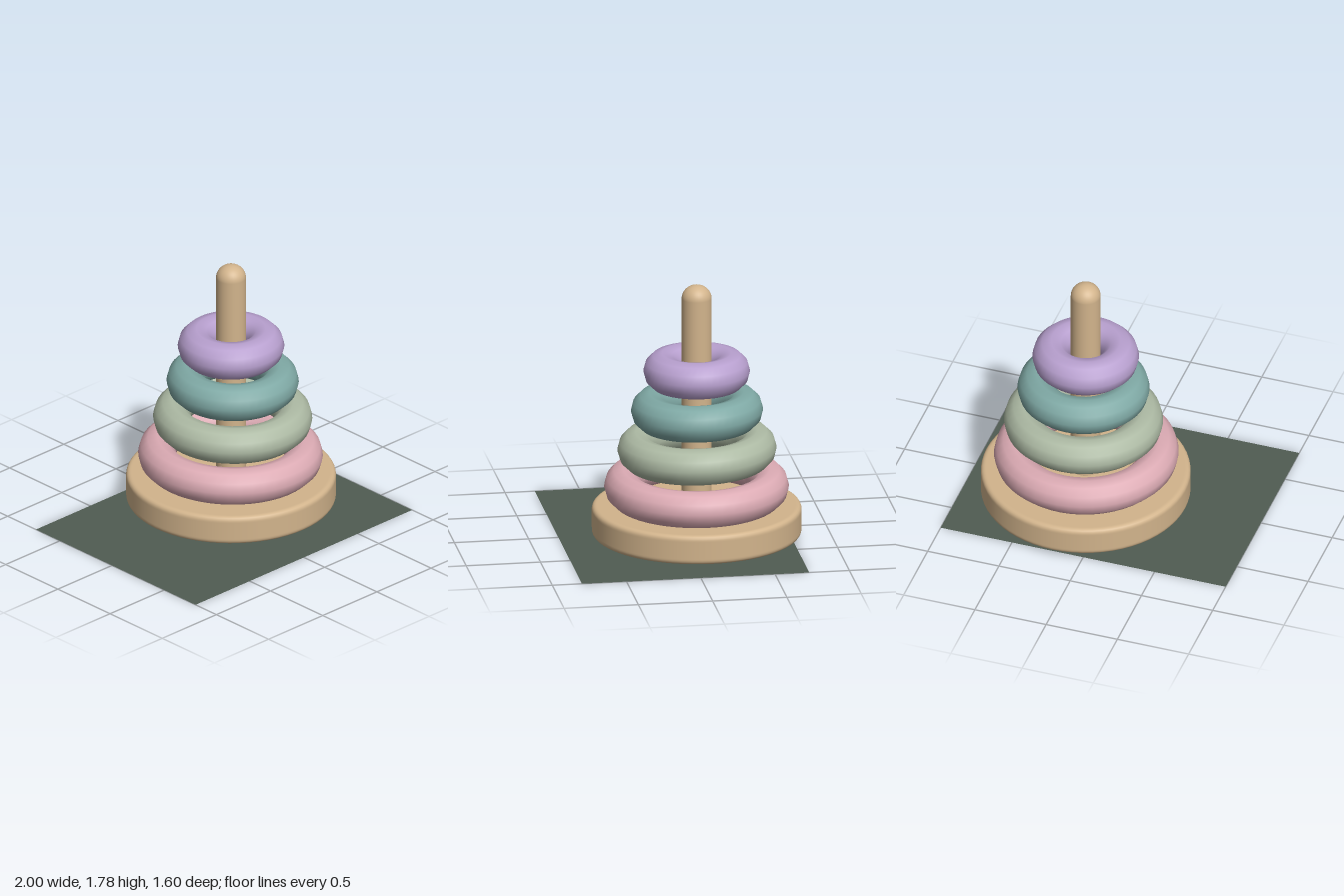
import * as THREE from 'three';

const material = (name, color, side = THREE.FrontSide) => {
  const m = new THREE.MeshStandardMaterial({ color, side });
  m.name = name;
  return m;
};

export function createModel() {
  const toy = new THREE.Group();
  toy.name = 'stackingRingToy';

  const wood = material('wood', 0xd2b48c);
  const mat = material('darkGreen', 0x505c52, THREE.DoubleSide);

  const add = (name, geometry, mat, x, y, z) => {
    const mesh = new THREE.Mesh(geometry, mat);
    mesh.name = name;
    mesh.position.set(x, y, z);
    toy.add(mesh);
    return mesh;
  };

  const cx = 0.195, cz = -0.1;

  // Flat ground mat, an infinitely thin sheet
  add('groundMat', new THREE.PlaneGeometry(2, 1.53).rotateX(-Math.PI / 2), mat, 0, 0, 0.035);

  // Round base with softened rims
  const R = 0.698, H = 0.2, b = 0.03;
  const profile = [new THREE.Vector2(0, 0), new THREE.Vector2(R - b - 0.01, 0)];
  for (const [cy, start] of [[b, -Math.PI / 2], [H - b, 0]]) {
    for (let i = 0; i <= 4; i++) {
      const a = start + (i / 4) * (Math.PI / 2);
      profile.push(new THREE.Vector2(R - b + b * Math.cos(a), cy + b * Math.sin(a)));
    }
    if (start < 0) profile.push(new THREE.Vector2(R, b + 0.01), new THREE.Vector2(R, H - b - 0.01));
  }
  profile.push(new THREE.Vector2(R - b - 0.01, H), new THREE.Vector2(0, H));
  add('base', new THREE.LatheGeometry(profile, 64), wood, cx, 0.05, cz);

  // Central peg and its domed cap
  add('peg', new THREE.CylinderGeometry(0.1, 0.1, 1.46, 32), wood, cx, 0.96, cz);
  const cap = add('pegCap', new THREE.SphereGeometry(0.1, 32, 12, 0, Math.PI * 2, 0, Math.PI / 2),
    wood, cx, 1.69, cz);
  cap.scale.y = 0.93;

  // Four loose rings, each slightly shifted and tilted
  const tube = 0.125;
  const rings = [
    // name, colour name, colour, outer radius, x, y, tilt x, tilt z
    ['bottomRing', 'pink', 0xdcabb4, 0.615, 0.19, 0.38, 0.004, -0.02],
    ['lowerRing', 'sageGreen', 0xadbaa4, 0.53, 0.21, 0.647, 0.022, 0.002],
    ['upperRing', 'teal', 0x7fa9a5, 0.44, 0.21, 0.917, 0.018, 0.002],
    ['topRing', 'lavender', 0xb8a0cf, 0.355, 0.195, 1.185, 0.002, 0.005],
  ];
  for (const [name, colourName, colour, outer, x, y, tiltX, tiltZ] of rings) {
    const geometry = new THREE.TorusGeometry(outer - tube, tube, 12, 48).rotateX(Math.PI / 2);
    const ring = add(name, geometry, material(colourName, colour), x, y, cz);
    ring.rotation.set(tiltX, 0, tiltZ);
  }

  return toy;
}
